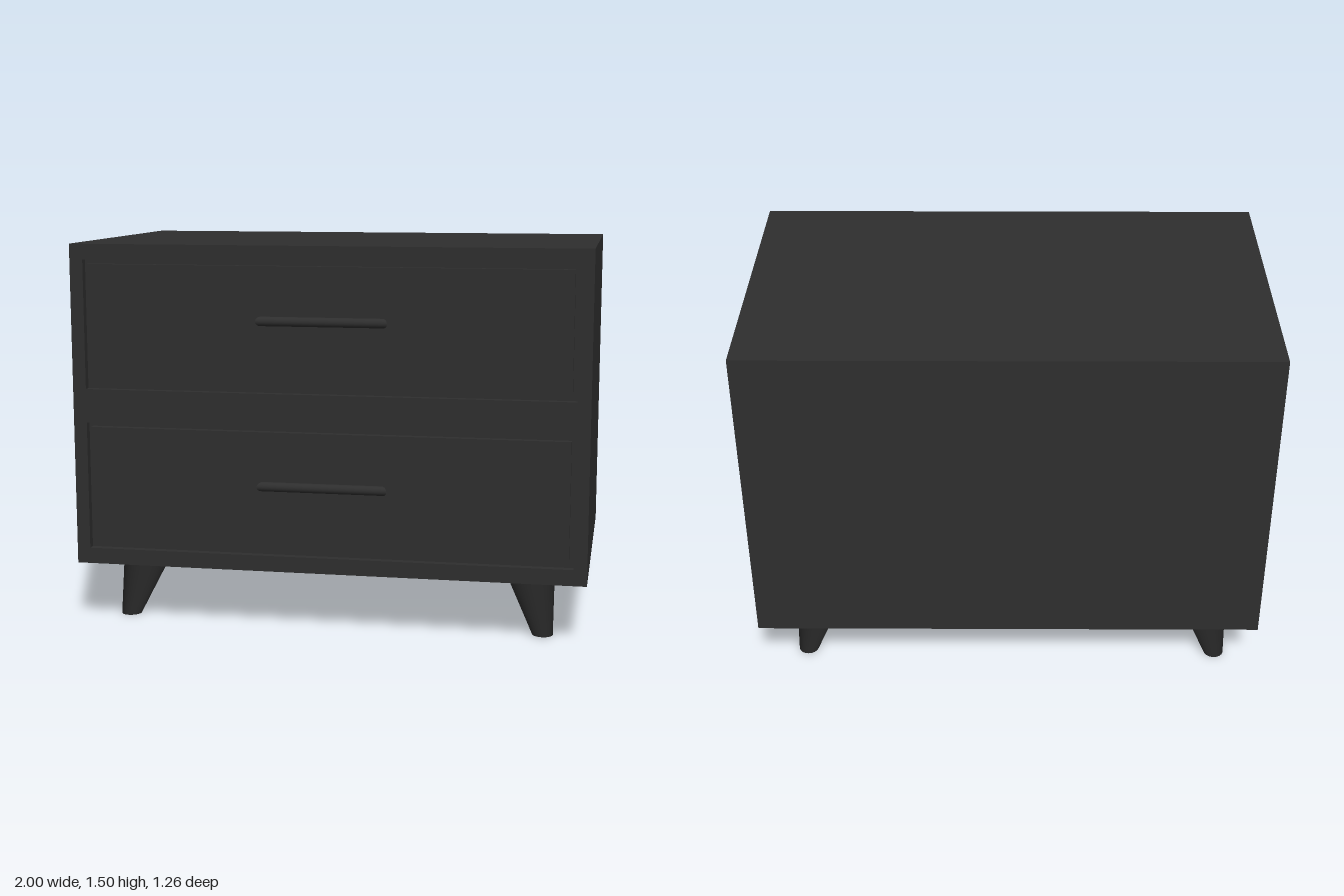
import * as THREE from 'three';

const charcoal = new THREE.MeshStandardMaterial({ color: 0x2e2e2e });
charcoal.name = 'charcoal';

const BOTTOM = 0.24, TOP = 1.5, BACK = -0.63, FRONT = 0.557, GROOVE = 0.03;
const DRAWERS = [
  { name: 'upper', y0: 0.937, y1: 1.44, handleY: 1.22 },
  { name: 'lower', y0: 0.302, y1: 0.805, handleY: 0.588 },
];
const DRAWER_X = 0.948, GAP = 0.017;

function add(group, name, geometry, x = 0, y = 0, z = 0) {
  const mesh = new THREE.Mesh(geometry, charcoal);
  mesh.name = name;
  mesh.position.set(x, y, z);
  group.add(mesh);
  return mesh;
}

function rectangle(path, x0, y0, x1, y1) {
  path.moveTo(x0, y0);
  path.lineTo(x1, y0);
  path.lineTo(x1, y1);
  path.lineTo(x0, y1);
  path.closePath();
  return path;
}

// Tapered leg, sheared so that its outer side stays vertical
function legGeometry(sx, sz) {
  const topR = 0.098, footR = 0.04;
  const g = new THREE.CylinderGeometry(topR, footR, BOTTOM, 32);
  g.translate(0, BOTTOM / 2, 0);
  const lean = (topR - footR) / BOTTOM;
  const p = g.attributes.position;
  for (let i = 0; i < p.count; i++) {
    const inward = footR + lean * p.getY(i);
    p.setX(i, p.getX(i) - sx * inward);
    p.setZ(i, p.getZ(i) - sz * inward);
  }
  g.computeBoundingSphere();
  return g;
}

// Hollow bar whose open ends are mitred towards the back
function handleGeometry() {
  const r = 0.018;
  const g = new THREE.CylinderGeometry(r, r, 0.464, 24, 1, true).rotateZ(Math.PI / 2);
  const p = g.attributes.position;
  for (let i = 0; i < p.count; i++) {
    p.setX(i, Math.sign(p.getX(i)) * (0.232 + p.getZ(i)));
  }
  return g;
}

export function createModel() {
  const model = new THREE.Group();
  model.name = 'nightstand';

  // Cabinet body
  const depth = FRONT - GROOVE - BACK;
  add(model, 'cabinetBody', new THREE.BoxGeometry(2, TOP - BOTTOM, depth),
    0, (TOP + BOTTOM) / 2, BACK + depth / 2);

  // Front frame with an opening for each drawer
  const frame = rectangle(new THREE.Shape(), -1, BOTTOM, 1, TOP);
  for (const d of DRAWERS) {
    frame.holes.push(rectangle(new THREE.Path(), -DRAWER_X, d.y0, DRAWER_X, d.y1));
  }
  add(model, 'frontFrame',
    new THREE.ExtrudeGeometry(frame, { depth: GROOVE, bevelEnabled: false }), 0, 0, FRONT - GROOVE);

  // Drawer fronts and handles
  for (const d of DRAWERS) {
    add(model, d.name + 'DrawerFront',
      new THREE.BoxGeometry(2 * (DRAWER_X - GAP), d.y1 - d.y0 - 2 * GAP, GROOVE),
      0, (d.y0 + d.y1) / 2, FRONT - GROOVE / 2);
    add(model, d.name + 'Handle', handleGeometry(), 0, d.handleY, 0.612);
  }

  // Legs, placed by their outer corner; the back right one sits slightly further out
  const legs = [
    ['frontLeftLeg', 0.87, 0.445],
    ['frontRightLeg', -0.873, 0.445],
    ['backLeftLeg', 0.87, -0.515],
    ['backRightLeg', -0.893, -0.53],
  ];
  for (const [name, x, z] of legs) {
    add(model, name, legGeometry(Math.sign(x), Math.sign(z)), x, 0, z);
  }
  return model;
}
